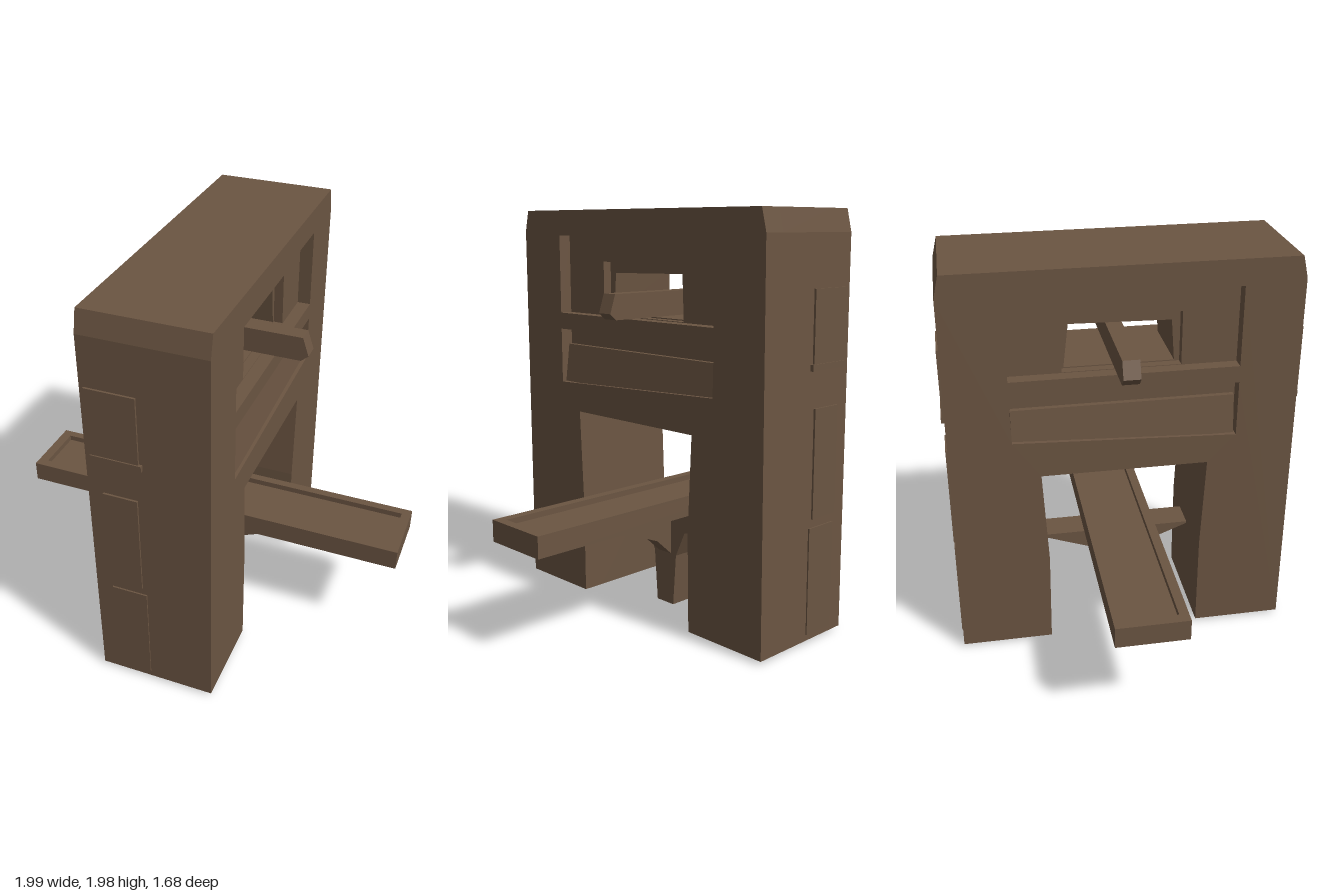
import * as THREE from 'three';

const brown = new THREE.MeshStandardMaterial({ color: 0x6b5542 });
brown.name = 'darkWood';

const path = (Type, pts) => new Type(pts.map(([x, y]) => new THREE.Vector2(x, y)));

// Extrude an outline (with optional holes) from depth a to depth b
function slab(outline, a, b, holes = []) {
  const shape = path(THREE.Shape, outline);
  holes.forEach(h => shape.holes.push(path(THREE.Path, h)));
  return new THREE.ExtrudeGeometry(shape, { depth: b - a, bevelEnabled: false }).translate(0, 0, a);
}

// Outline drawn in (-z, y), extruded along x
const sideSlab = (...args) => slab(...args).rotateY(Math.PI / 2);

const rect = (x0, x1, y0, y1) => [[x0, y0], [x1, y0], [x1, y1], [x0, y1]];

export function createModel() {
  const model = new THREE.Group();
  model.name = 'woodenArchFrame';

  const add = (name, geometry, parent = model) => {
    const mesh = new THREE.Mesh(geometry, brown);
    mesh.name = name;
    parent.add(mesh);
    return mesh;
  };
  const box = (name, x0, x1, y0, y1, z0, z1, parent) =>
    add(name, new THREE.BoxGeometry(x1 - x0, y1 - y0, z1 - z0)
      .translate((x0 + x1) / 2, (y0 + y1) / 2, (z0 + z1) / 2), parent);

  // Arch outline: two thick legs joined by a tall header
  const arch = [
    [-0.83, 0.02], [-0.385, 0.02], [-0.385, 0.5], [-0.405, 0.975],
    [0.4, 0.975], [0.375, 0.5], [0.38, 0.02], [0.83, 0.02],
    [0.825, 1.88], [0.8, 1.985], [-0.8, 1.985], [-0.825, 1.88],
  ];
  const windowHole = [[-0.25, 1.48], [0.27, 1.48], [0.245, 1.69], [-0.235, 1.68]];
  const flaredHole = [[-0.275, 1.475], [0.285, 1.475], [0.275, 1.735], [-0.275, 1.735]];
  const upperPanel = [[-0.54, 1.472], [0.535, 1.472], [0.53, 1.86], [-0.54, 1.86]];
  const lowerPanel = [[-0.54, 1.115], [0.53, 1.16], [0.535, 1.39], [-0.54, 1.39]];

  // Core with the window, then a flared step and the panelled face on each side
  const frame = new THREE.Group();
  frame.name = 'frame';
  model.add(frame);
  add('core', sideSlab(arch, -0.18, 0.18, [windowHole]), frame);
  for (const s of [-1, 1]) {
    const step = s < 0 ? [-0.225, -0.18] : [0.18, 0.225];
    const face = s < 0 ? [-0.29, -0.225] : [0.225, 0.29];
    add('windowStep', sideSlab(arch, ...step, [flaredHole]), frame);
    add('panelFace', sideSlab(arch, ...face, [upperPanel, lowerPanel]), frame);
    // Sloping board inside the lower panel
    add('panelBoard', slab([[s * 0.22, 1.12], [s * 0.275, 1.12], [s * 0.25, 1.31], [s * 0.22, 1.31]], -0.53, 0.53), frame);
  }
  // Widen the frame slightly towards the top
  frame.children.forEach(({ geometry }) => {
    const p = geometry.attributes.position;
    for (let i = 0; i < p.count; i++) p.setX(i, p.getX(i) * (0.985 + 0.02 * p.getY(i) / 2));
    geometry.computeVertexNormals();
  });

  // Worn planks on the two end faces
  for (const s of [-1, 1]) {
    const plank = (name, x0, x1, y0, y1, out) =>
      box(name, x0, x1, y0, y1, Math.min(s * 0.81, s * out), Math.max(s * 0.81, s * out));
    plank('upperPlank', -0.27, -0.035, 1.31, 1.64, 0.836);
    plank('plankLedge', -0.26, -0.02, 1.28, 1.31, 0.842);
    plank('lowerPlank', -0.215, -0.05, 0.6, 1.11, 0.837);
    plank('footPlank', -0.205, -0.03, 0.05, 0.56, 0.836);
  }

  // Cross beam through the window
  add('crossBeam', slab([
    [-0.42, 1.48], [0.42, 1.48], [0.455, 1.51], [0.425, 1.6], [-0.425, 1.6], [-0.46, 1.52],
  ], -0.04, 0.04));

  // Long tray with a raised rim
  const tray = new THREE.Group();
  tray.name = 'tray';
  model.add(tray);
  box('trayFloor', -1, 0.99, 0.5, 0.575, -0.172, 0.168, tray);
  const rim = slab(rect(-1, 0.99, -0.168, 0.172), 0.575, 0.603, [rect(-0.95, 0.945, -0.123, 0.132)])
    .rotateX(-Math.PI / 2);
  rim.scale(1, 1, -1);
  rim.scale(1, 1, -1);
  add('trayRim', rim, tray);

  // Post with braces reaching to both legs
  add('postAndLegBraces', sideSlab([
    [-0.055, 0.005], [0.06, 0.005], [0.08, 0.27], [0.14, 0.4], [0.375, 0.485], [0.375, 0.5],
    [-0.37, 0.5], [-0.37, 0.49], [-0.14, 0.4], [-0.075, 0.27],
  ], -0.075, 0.075));

  // Curved braces under the tray
  add('trayBraces', slab([
    [-0.64, 0.5], [-0.29, 0.41], [-0.17, 0.36], [-0.07, 0.27],
    [0.07, 0.27], [0.17, 0.36], [0.29, 0.41], [0.64, 0.5],
  ], -0.045, 0.045));

  return model;
}
